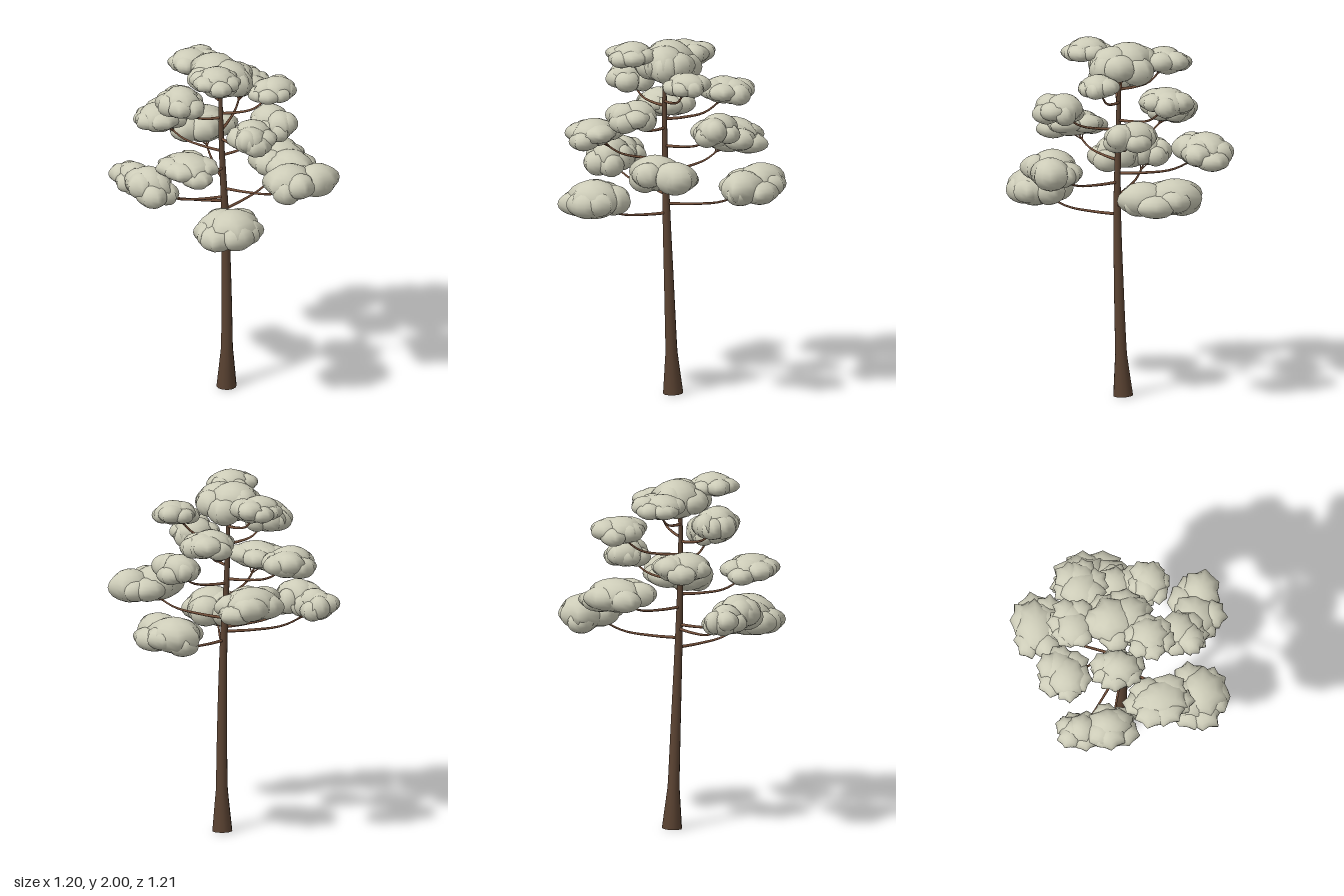
import * as THREE from 'three';
import { mergeVertices } from 'three/addons/utils/BufferGeometryUtils.js';

// Seeded random numbers in 0..1
let seed = 7;
const rnd = () => {
  seed = (seed * 16807) % 2147483647;
  return seed / 2147483647;
};

const foliageMat = new THREE.MeshStandardMaterial({ color: 0xcdccb8 });
const trunkMat = new THREE.MeshStandardMaterial({ color: 0x5c4433 });
const branchMat = new THREE.MeshStandardMaterial({ color: 0x75503a });

// Foliage pads: centre x, y, z, half sizes x, y, z, direction of the main puff in x and z
const PADS = [
  [0.37, 1.15, 0.31, 0.18, 0.115, 0.2, 0.4, -0.1],
  [0.44, 1.34, -0.14, 0.16, 0.105, 0.19, -0.4, 0.8],
  [0.32, 1.63, 0.11, 0.14, 0.085, 0.14, -0.4, -0.4],
  [0.14, 1.47, 0.42, 0.2, 0.08, 0.15, 0.2, 0],
  [0.03, 1.53, -0.27, 0.15, 0.085, 0.125, -0.6, 0],
  [0.17, 1.8, -0.15, 0.115, 0.07, 0.14, 0.2, -0.3],
  [-0.44, 1.39, -0.13, 0.155, 0.1, 0.22, -0.3, 0],
  [-0.36, 1.56, 0.22, 0.15, 0.085, 0.165, 0.3, 0.4],
  [-0.31, 1.27, 0.46, 0.13, 0.09, 0.12, 0.3, 0],
  [-0.13, 1.28, 0.46, 0.17, 0.105, 0.13, -0.2, 0.1],
  [-0.1, 1.21, -0.43, 0.225, 0.105, 0.165, -0.8, -0.2],
  [-0.2, 1.7, -0.23, 0.15, 0.08, 0.155, 0, 0.4],
  [-0.07, 1.76, 0.3, 0.155, 0.095, 0.13, 0.2, 0.2],
  [-0.28, 1.87, 0.05, 0.14, 0.075, 0.15, 0, 0.4],
  [-0.03, 1.87, 0.06, 0.2, 0.115, 0.18, -0.5, 0.1],
  [0.12, 1.93, 0.21, 0.14, 0.07, 0.14, 0, -0.2],
];

// Centre line of the trunk
const trunkLine = new THREE.CatmullRomCurve3([
  [-0.025, 0, 0.02], [-0.015, 0.22, 0.025], [-0.005, 0.6, 0.035], [0, 1.05, 0.05],
  [-0.01, 1.45, 0.065], [-0.02, 1.85, 0.07],
].map((p) => new THREE.Vector3(...p)));

function trunkAt(y) {
  let best = trunkLine.getPoint(0);
  for (let i = 1; i <= 80; i++) {
    const p = trunkLine.getPoint(i / 80);
    if (Math.abs(p.y - y) < Math.abs(best.y - y)) best = p;
  }
  return best;
}

// Tube whose radius follows radiusAt(t)
function limb(name, curve, radiusAt, segments, sides, material) {
  const geo = new THREE.TubeGeometry(curve, segments, 1, sides, false);
  const pos = geo.attributes.position;
  const v = new THREE.Vector3();
  for (let i = 0; i < pos.count; i++) {
    const t = Math.floor(i / (sides + 1)) / segments;
    const c = curve.getPointAt(t);
    v.fromBufferAttribute(pos, i).sub(c).multiplyScalar(radiusAt(t)).add(c);
    pos.setXYZ(i, v.x, v.y, v.z);
  }
  const mesh = new THREE.Mesh(geo, material);
  mesh.name = name;
  return mesh;
}

// Flattened puff with a jagged, star-like rim
function puff(x, y, z, rx, ry, rz) {
  const W = 14, H = 10;
  const geo = new THREE.SphereGeometry(1, W, H);
  const turn = rnd() * Math.PI * 2;
  const spokes = Array.from({ length: W }, (_, i) => (i % 2 ? 0.8 : 1.0) + rnd() * 0.16);
  const pos = geo.attributes.position;
  for (let i = 0; i < pos.count; i++) {
    const py = pos.getY(i);
    const rim = 1 - py * py;
    const k = 1 + (spokes[(i % (W + 1)) % W] - 1) * rim;
    const a = Math.atan2(pos.getZ(i), pos.getX(i)) + turn;
    const r = Math.sqrt(Math.max(rim, 0)) * k;
    pos.setXYZ(i, Math.cos(a) * r * rx, py * ry, Math.sin(a) * r * rz);
  }
  geo.deleteAttribute('uv');
  geo.deleteAttribute('normal');
  const smooth = mergeVertices(geo, 1e-5);
  smooth.computeVertexNormals();
  const mesh = new THREE.Mesh(smooth, foliageMat);
  mesh.name = 'leafPuff';
  mesh.position.set(x, y, z);
  return mesh;
}

// One main puff, a second opposite it, and smaller ones around the edge
function foliagePad([x, y, z, hx, hy, hz, mx, mz]) {
  const pad = new THREE.Group();
  pad.name = 'foliagePad';
  const even = (hx + hz) / 2;
  const add = (dx, dy, dz, s, sy) => pad.add(puff(
    x + dx * hx, y + dy * hy, z + dz * hz,
    s * (hx * 0.6 + even * 0.4), sy * hy, s * (hz * 0.6 + even * 0.4),
  ));
  add(mx * 0.4, 0.06, mz * 0.4, 0.74, 0.94);
  add(-mx * 0.55, 0, -mz * 0.55, 0.64, 0.88);
  const start = rnd() * Math.PI * 2;
  for (let i = 0; i < 6; i++) {
    const a = start + (i / 6) * Math.PI * 2 + (rnd() - 0.5) * 0.5;
    const s = 0.44 + rnd() * 0.14;
    const reach = 1.02 - s;
    add(Math.cos(a) * reach, -0.35 + rnd() * 0.5, Math.sin(a) * reach, s, 0.6 + rnd() * 0.14);
  }
  return pad;
}

// Branch that leaves the trunk, sags outward and lifts into its pad, with two twigs
function branch([x, y, z, hx, hy, hz]) {
  const group = new THREE.Group();
  group.name = 'branch';
  const base = trunkAt(Math.min(y - 0.14, 1.8));
  const tip = new THREE.Vector3(x, y - hy * 0.2, z);
  const along = (t, lift) => {
    const p = base.clone().lerp(tip, t);
    p.y = base.y + (tip.y - base.y) * lift;
    return p;
  };
  const curve = new THREE.CatmullRomCurve3([base, along(0.3, 0.05), along(0.65, 0.25), tip]);
  group.add(limb('bough', curve, (t) => 0.009 - 0.005 * t, 14, 6, branchMat));
  const fork = curve.getPointAt(0.75);
  for (const side of [-1, 1]) {
    const dir = new THREE.Vector3(-(z - base.z), 0, x - base.x).normalize();
    const end = tip.clone().add(new THREE.Vector3(dir.x * hx, 0, dir.z * hz).multiplyScalar(side * 0.4));
    const mid = fork.clone().lerp(end, 0.5);
    const twig = new THREE.CatmullRomCurve3([fork, mid, end]);
    group.add(limb('twig', twig, (t) => 0.004 - 0.002 * t, 8, 5, branchMat));
  }
  return group;
}

export function createModel() {
  seed = 7;
  const tree = new THREE.Group();
  tree.name = 'tree';

  // Trunk, flared at the foot
  const flare = (t) => 0.036 - 0.026 * t + 0.02 * Math.max(0, 1 - t / 0.13);
  tree.add(limb('trunk', trunkLine, flare, 40, 12, trunkMat));
  const foot = new THREE.Mesh(new THREE.CircleGeometry(0.056, 12), trunkMat);
  foot.name = 'trunkFoot';
  foot.rotation.x = Math.PI / 2;
  foot.position.copy(trunkLine.getPoint(0));
  tree.add(foot);

  // Crown
  for (const pad of PADS) {
    tree.add(foliagePad(pad));
    tree.add(branch(pad));
  }
  return tree;
}
